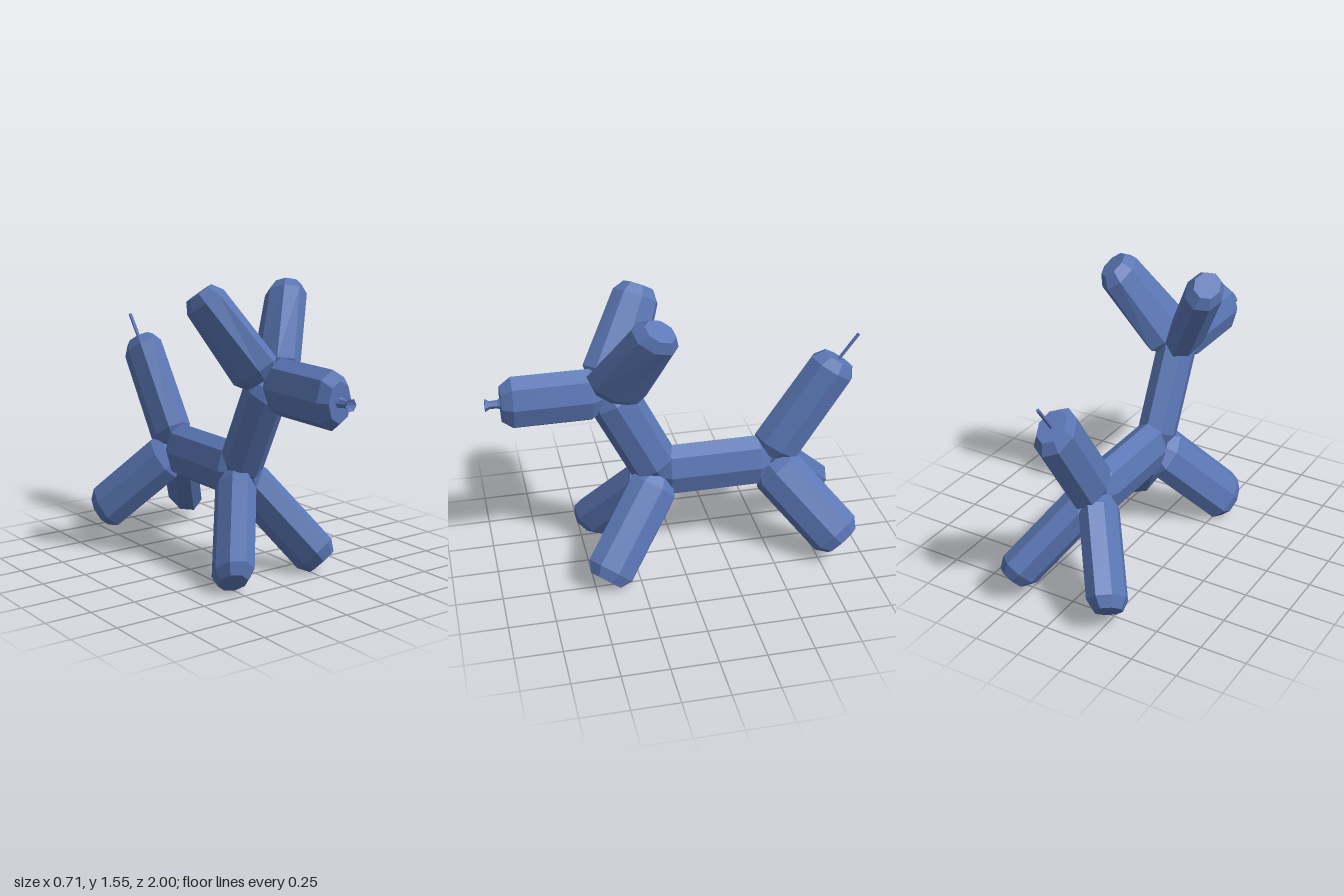
import * as THREE from 'three';

const material = new THREE.MeshStandardMaterial({ color: 0x5a76b4, flatShading: true });
const SIDES = 8;
const CHAMFER = 0.058;

// Eight-sided oval balloon with chamfered ends, from point a to point b.
// depthA/depthB: half depth at each end; side: +1/-1 trims a paired limb at the middle plane.
function balloon(a, b, { width = 0.1, depthA = 0.15, depthB = depthA, side = 0 } = {}) {
  const start = new THREE.Vector3(...a), end = new THREE.Vector3(...b);
  const length = start.distanceTo(end);
  const dir = end.clone().sub(start).normalize();
  const deep = dir.clone().cross(new THREE.Vector3(1, 0, 0)).normalize();
  const across = deep.clone().cross(dir);

  // [distance along, scale]: cap centre, chamfer, body, chamfer, cap centre
  const rings = [[0, 0], [0, 0.7], [CHAMFER, 1], [length - CHAMFER, 1], [length, 0.7], [length, 0]];
  const positions = [], indices = [];
  rings.forEach(([d, s], k) => {
    const depth = THREE.MathUtils.lerp(depthA, depthB, d / length);
    for (let i = 0; i < SIDES; i++) {
      const t = (i / SIDES) * Math.PI * 2;
      const p = start.clone().addScaledVector(dir, d)
        .addScaledVector(across, Math.cos(t) * width * s)
        .addScaledVector(deep, Math.sin(t) * depth * s);
      // slide points that cross the middle back along the limb
      if (side * p.x < 0) p.addScaledVector(dir, -p.x / dir.x);
      positions.push(p.x, p.y, p.z);
      if (k === rings.length - 1) continue;
      const j = (i + 1) % SIDES, r0 = k * SIDES, r1 = r0 + SIDES;
      if (k > 0) indices.push(r0 + i, r0 + j, r1 + j);
      if (k < rings.length - 2) indices.push(r0 + i, r1 + j, r1 + i);
    }
  });
  const geometry = new THREE.BufferGeometry();
  geometry.setAttribute('position', new THREE.Float32BufferAttribute(positions, 3));
  geometry.setIndex(indices);
  const flat = geometry.toNonIndexed();
  flat.computeVertexNormals();
  return flat;
}

export function createModel() {
  const group = new THREE.Group();
  const add = (name, geometry) => {
    const mesh = new THREE.Mesh(geometry, material);
    mesh.name = name;
    group.add(mesh);
    return mesh;
  };

  // Central balloons
  add('head', balloon([0, 1.05, 0.4], [0, 1.05, 0.92]));
  add('neck', balloon([0, 0.54, 0.1], [0, 1.06, 0.36], { depthA: 0.135 }));
  add('body', balloon([0, 0.535, -0.51], [0, 0.535, 0.1], { depthA: 0.155 }));
  add('tail', balloon([0, 0.57, -0.53], [0, 1.11, -0.885], { depthA: 0.15, depthB: 0.14 }));

  // Paired balloons
  for (const [label, s] of [['left', 1], ['right', -1]]) {
    add(label + 'Ear', balloon([0.04 * s, 1.07, 0.35], [0.28 * s, 1.51, 0.14],
      { depthA: 0.175, depthB: 0.125, side: s }));
    add(label + 'FrontLeg', balloon([0.02 * s, 0.51, 0.1], [0.29 * s, 0.07, 0.45],
      { depthA: 0.145, side: s }));
    add(label + 'HindLeg', balloon([0.02 * s, 0.52, -0.52], [0.29 * s, 0.13, -0.87],
      { depthA: 0.145, side: s }));
  }

  // Knotted nozzle on the nose
  const profile = [[0, 0], [0.032, 0], [0.022, 0.02], [0.02, 0.06], [0.034, 0.085], [0.015, 0.078], [0, 0.075]]
    .map(([r, y]) => new THREE.Vector2(r, y));
  const nozzle = add('nozzle', new THREE.LatheGeometry(profile, 6));
  nozzle.rotation.set(Math.PI / 2, Math.PI / 6, 0);
  nozzle.position.set(0, 1.05, 0.915);

  // Uninflated end of the tail
  const from = new THREE.Vector3(0, 1.09, -0.875), to = new THREE.Vector3(0, 1.245, -0.99);
  const tip = add('tailTip', new THREE.CylinderGeometry(0.01, 0.01, from.distanceTo(to), 6));
  tip.position.copy(from).lerp(to, 0.5);
  tip.quaternion.setFromUnitVectors(new THREE.Vector3(0, 1, 0), to.clone().sub(from).normalize());

  return group;
}
